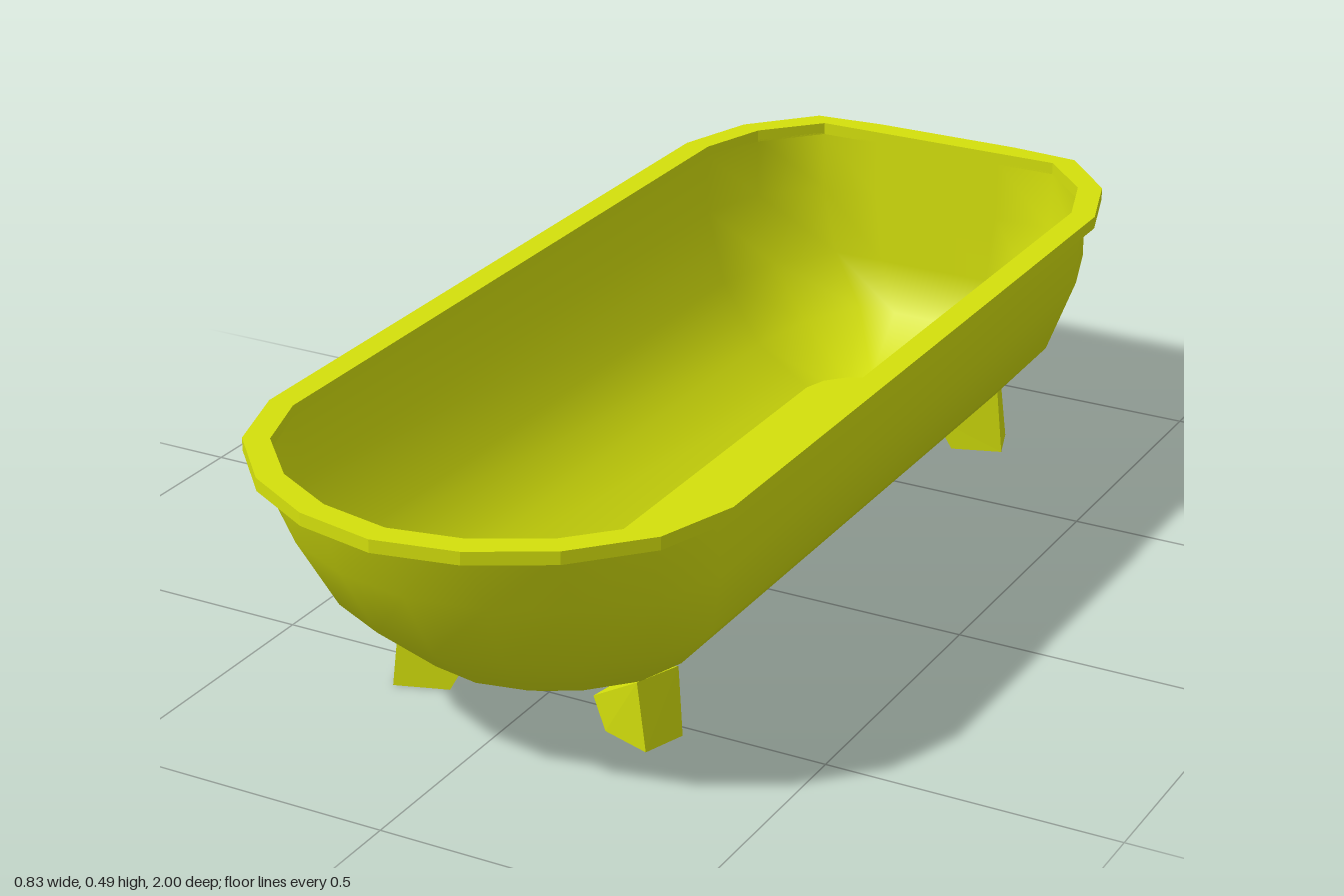
import * as THREE from 'three';

const material = new THREE.MeshStandardMaterial({ color: 0xd4e00c, roughness: 0.8 });

// Quarter-round end: across (u) and outwards (v)
const U = [1, 0.89, 0.64, 0.335, 0];
const V = [0, 0.4, 0.72, 0.92, 1];

// Long outline in x/z: round front end, back end cut flat at "cut"
function outline([w, zf, rf, zb, rb], cut) {
  const half = [];
  for (let i = 4; i >= 0; i--) half.push([w * U[i], zf + rf * V[i]]);
  for (let i = 0; i <= 4; i++) half.push([w * U[i], Math.max(cut, zb - rb * V[i])]);
  const mirrored = half.slice(1, -1).reverse().map(([x, z]) => [-x, z]);
  return [...half, ...mirrored];
}

// Smooth wall through a stack of outlines
function wallGeometry(levels, cut, inward) {
  const positions = [], index = [];
  let n = 0;
  for (const [y, ...ring] of levels) {
    const pts = outline(ring, cut);
    n = pts.length;
    for (const [x, z] of pts) positions.push(x, y, z);
  }
  for (let r = 0; r < levels.length - 1; r++) {
    for (let i = 0; i < n; i++) {
      const a = r * n + i, b = r * n + (i + 1) % n, c = b + n, d = a + n;
      if (inward) index.push(a, c, b, a, d, c);
      else index.push(a, b, c, a, c, d);
    }
  }
  const g = new THREE.BufferGeometry();
  g.setAttribute('position', new THREE.Float32BufferAttribute(positions, 3));
  g.setIndex(index);
  g.computeVertexNormals();
  return g;
}

const toShape = (pts, sign) => new THREE.Shape(pts.map(([x, z]) => new THREE.Vector2(x, sign * z)));

// Flat floor facing up or down
function floorGeometry([y, ...ring], cut, up) {
  const g = new THREE.ShapeGeometry(toShape(outline(ring, cut), up ? -1 : 1));
  return g.rotateX(up ? -Math.PI / 2 : Math.PI / 2).translate(0, y, 0);
}

// Tapered wedge foot; sx and back mirror it to the four corners
function footGeometry(sx, back) {
  const corners = [
    // top: outer front, outer back, inner back, inner front
    [0.22, 0.12, 0.6], [0.25, 0.12, 0.52], [0.14, 0.06, 0.485], [0.118, 0.052, 0.56],
    // bottom, same order
    [0.235, 0, 0.6], [0.26, 0, 0.525], [0.172, 0, 0.495], [0.145, 0, 0.57],
  ].map(([x, y, z]) => [x * sx, y, back ? -0.185 - z : z]);
  const quads = [[0, 1, 2, 3], [7, 6, 5, 4], [4, 5, 1, 0], [5, 6, 2, 1], [6, 7, 3, 2], [7, 4, 0, 3]];
  const flip = (sx < 0) !== back;
  const positions = [];
  for (const [a, b, c, d] of quads) {
    const order = flip ? [a, c, b, a, d, c] : [a, b, c, a, c, d];
    for (const k of order) positions.push(...corners[k]);
  }
  const g = new THREE.BufferGeometry();
  g.setAttribute('position', new THREE.Float32BufferAttribute(positions, 3));
  g.computeVertexNormals();
  return g;
}

export function createModel() {
  const group = new THREE.Group();
  group.name = 'bathtub';
  const add = (name, geometry) => {
    const mesh = new THREE.Mesh(geometry, material);
    mesh.name = name;
    group.add(mesh);
  };

  // Each level: y, half width, front centre, front radius, back centre, back radius
  const outer = [
    [0.05, 0.12, 0.47, 0.12, -0.67, 0.12],
    [0.12, 0.25, 0.51, 0.21, -0.69, 0.38],
    [0.225, 0.34, 0.58, 0.26, -0.71, 0.36],
    [0.355, 0.385, 0.63, 0.285, -0.73, 0.33],
    [0.466, 0.385, 0.65, 0.315, -0.73, 0.33],
  ];
  const inner = [
    [0.062, 0.13, 0.47, 0.115, -0.68, 0.11],
    [0.125, 0.238, 0.51, 0.195, -0.69, 0.36],
    [0.228, 0.325, 0.58, 0.245, -0.71, 0.34],
    [0.357, 0.37, 0.63, 0.27, -0.73, 0.315],
    [0.468, 0.37, 0.65, 0.305, -0.73, 0.315],
  ];
  add('outerWall', wallGeometry(outer, -0.965, false));
  add('underside', floorGeometry(outer[0], -0.965, false));
  add('innerWall', wallGeometry(inner, -0.955, true));
  add('basinFloor', floorGeometry(inner[0], -0.955, true));

  // Flat projecting rim with the basin opening
  const rim = toShape(outline([0.415, 0.65, 0.35, -0.73, 0.36], -1), -1);
  rim.holes.push(toShape(outline(inner[4].slice(1), -0.955), -1));
  const rimGeometry = new THREE.ExtrudeGeometry(rim, { depth: 0.022, bevelEnabled: false });
  add('rim', rimGeometry.rotateX(-Math.PI / 2).translate(0, 0.465, 0));

  // Four feet
  for (const sx of [1, -1]) {
    const side = sx > 0 ? 'Left' : 'Right';
    add('front' + side + 'Foot', footGeometry(sx, false));
    add('back' + side + 'Foot', footGeometry(sx, true));
  }
  return group;
}
